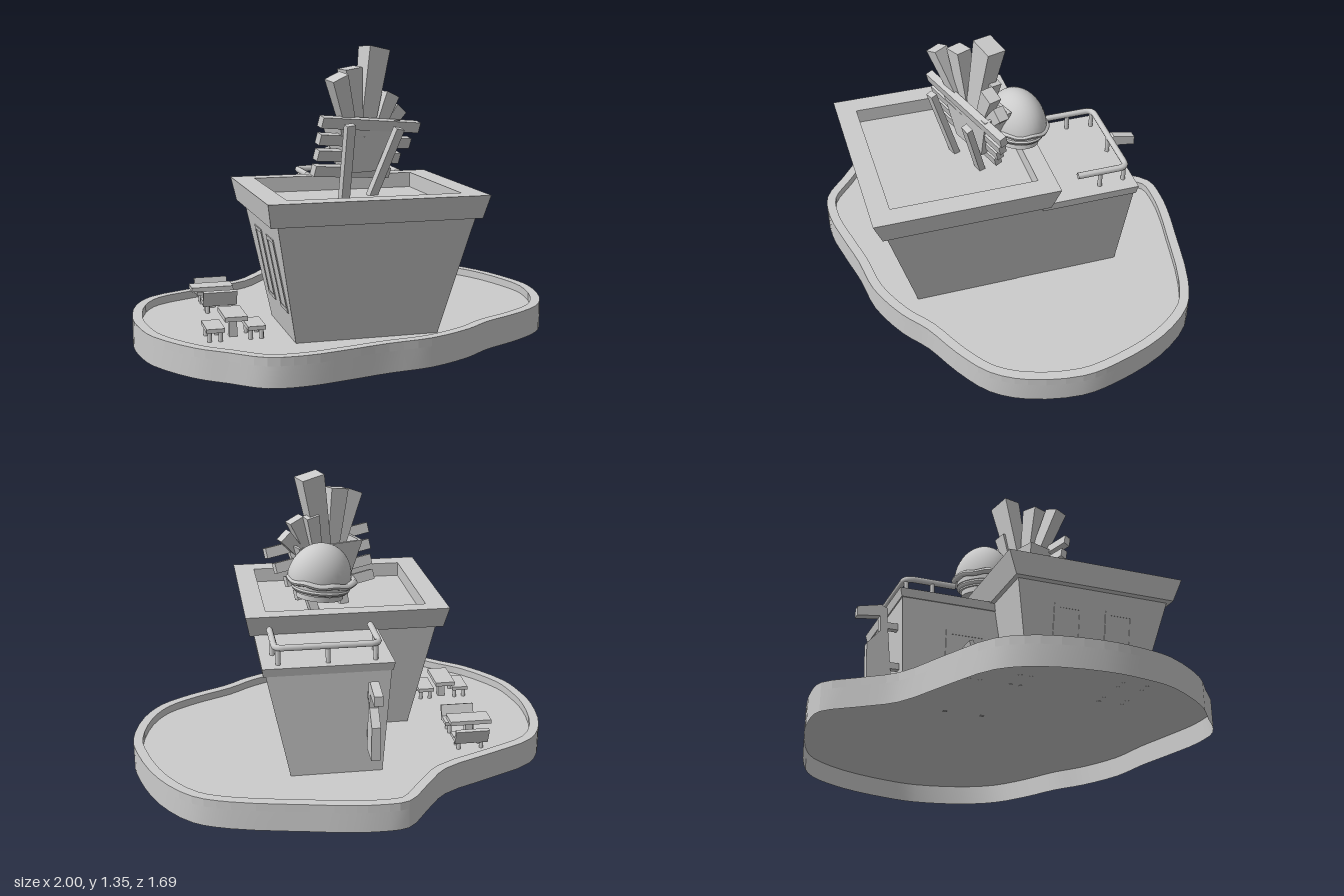
import * as THREE from 'three';

const mat = new THREE.MeshStandardMaterial({ color: 0xcccccc, side: THREE.DoubleSide });
const V = (x, y, z) => new THREE.Vector3(x, y, z);
const FLOOR = 0.093;

function add(parent, name, geo, x = 0, y = 0, z = 0) {
  const m = new THREE.Mesh(geo, mat);
  m.name = name;
  m.position.set(x, y, z);
  parent.add(m);
  return m;
}

function group(parent, name, x = 0, y = 0, z = 0) {
  const g = new THREE.Group();
  g.name = name;
  g.position.set(x, y, z);
  parent.add(g);
  return g;
}

// Loft through rectangles [x0, x1, z0, z1, y], closed at both ends
function loft(rings) {
  const pos = [], idx = [], n = rings.length;
  for (const [x0, x1, z0, z1, y] of rings) pos.push(x0, y, z1, x1, y, z1, x1, y, z0, x0, y, z0);
  for (let r = 0; r < n - 1; r++)
    for (let i = 0; i < 4; i++) {
      const a = r * 4 + i, b = r * 4 + (i + 1) % 4;
      idx.push(a, b, b + 4, a, b + 4, a + 4);
    }
  const t = (n - 1) * 4;
  idx.push(t, t + 1, t + 2, t, t + 2, t + 3, 0, 2, 1, 0, 3, 2);
  let g = new THREE.BufferGeometry();
  g.setAttribute('position', new THREE.Float32BufferAttribute(pos, 3));
  g.setIndex(idx);
  g = g.toNonIndexed();
  g.computeVertexNormals();
  return g;
}

// Bar from p to q, turned about its own length; taper scales its lower end
function beam(parent, name, p, q, w, d, taper = 1) {
  const dir = q.clone().sub(p), mid = p.clone().add(q).multiplyScalar(0.5), h = dir.length() / 2;
  const ring = (s, y) => [-w * s / 2, w * s / 2, -d * s / 2, d * s / 2, y];
  const m = add(parent, name, loft([ring(taper, -h), ring(1, h)]), mid.x, mid.y, mid.z);
  m.quaternion.setFromUnitVectors(V(0, 1, 0), dir.normalize())
    .multiply(new THREE.Quaternion().setFromAxisAngle(V(0, 1, 0), 0.34));
}

// Rounded island, open underneath, with a raised rim around a sunken floor
function buildBase(root) {
  const outline = [[-.176, -.83], [-.04, -.845], [.1, -.83], [.25, -.8], [.58, -.725], [.743, -.647], [.885, -.46],
    [.975, -.21], [1, -.04], [.95, .2], [.86, .35], [.706, .46], [.53, .55], [.4, .645], [.2, .735], [0, .765],
    [-.2, .81], [-.375, .842], [-.535, .828], [-.675, .72], [-.8, .615], [-.945, .4], [-.985, .25], [-1, .08],
    [-.96, -.17], [-.87, -.32], [-.65, -.437], [-.4, -.558], [-.29, -.69]];
  const curve = new THREE.CatmullRomCurve3(outline.map(([x, z]) => V(x, z, 0)), true);
  const outer = [], inner = [], n = 87;
  for (let i = 0; i < n; i++) {
    const p = curve.getPoint(i / n), t = curve.getTangent(i / n);
    outer.push(new THREE.Vector2(p.x, p.y));
    inner.push(new THREE.Vector2(p.x - t.y * 0.045, p.y + t.x * 0.045));
  }
  const rim = new THREE.Shape(outer);
  rim.holes.push(new THREE.Path(inner));
  const rimGeo = new THREE.ExtrudeGeometry(rim, { depth: 0.13 - FLOOR, bevelEnabled: false });
  add(root, 'baseRim', rimGeo.rotateX(Math.PI / 2), 0, 0.13, 0);
  const floor = new THREE.ShapeGeometry(new THREE.Shape(inner)).rotateX(-Math.PI / 2).scale(1, 1, -1);
  floor.index.array.reverse();
  floor.computeVertexNormals();
  add(root, 'baseFloor', floor, 0, FLOOR, 0);

  // Outer skirt down to the ground
  const skirt = new THREE.CylinderGeometry(1, 1, FLOOR, n, 1, true), pos = skirt.attributes.position;
  for (let i = 0; i < pos.count; i++) {
    const o = outer[(n - i % (n + 1)) % n];
    pos.setX(i, o.x);
    pos.setZ(i, o.y);
  }
  skirt.computeVertexNormals();
  add(root, 'baseSkirt', skirt, 0, FLOOR / 2, 0);
}

// Framed opening on a wall facing -x that leans outward
function opening(parent, name, x, y, z, w, h, lean, sill) {
  const g = group(parent, name, x, y, z);
  g.rotation.set(lean, -Math.PI / 2, 0, 'YXZ');
  const t = 0.018, d = 0.01;
  for (const s of [-1, 1]) add(g, 'sideFrame', new THREE.BoxGeometry(t, h, d), s * (w - t) / 2, 0, 0);
  add(g, 'topFrame', new THREE.BoxGeometry(w, t, d), 0, (h - t) / 2, 0);
  if (sill) add(g, 'sill', new THREE.BoxGeometry(w, t, d), 0, (t - h) / 2, 0);
  add(g, 'panel', new THREE.BoxGeometry(w - 2 * t, h - t, 0.005), 0, 0, 0);
}

function buildBuilding(root) {
  add(root, 'mainWalls', loft([[-.35, .295, .045, .54, FLOOR], [-.46, .41, -.05, .69, .64]]));
  add(root, 'mainParapet', loft([[-.49, .435, -.07, .705, .63], [-.51, .455, -.11, .745, .735],
    [-.41, .355, -.03, .65, .735], [-.41, .355, -.03, .65, .665]]));
  add(root, 'wingWalls', loft([[-.128, .293, -.458, .1, FLOOR], [-.16, .4, -.485, .1, .6]]));
  add(root, 'wingRoof', loft([[-.165, .41, -.49, -.04, .595], [-.172, .415, -.5, -.04, .635]]));

  // Windows and door on the side wall
  for (const z of [0.2, 0.45]) opening(root, 'window', -0.408, 0.385, z, 0.14, 0.33, 0.198, true);
  opening(root, 'door', -0.14, 0.28, -0.18, 0.19, 0.38, 0.064, false);

  // Roof railing
  const rail = new THREE.CurvePath(), y = 0.715, r = 0.04, x0 = -0.108, x1 = 0.355, zb = -0.46, zf = -0.22;
  rail.add(new THREE.LineCurve3(V(x0, y, zf), V(x0, y, zb + r)));
  rail.add(new THREE.QuadraticBezierCurve3(V(x0, y, zb + r), V(x0, y, zb), V(x0 + r, y, zb)));
  rail.add(new THREE.LineCurve3(V(x0 + r, y, zb), V(x1 - r, y, zb)));
  rail.add(new THREE.QuadraticBezierCurve3(V(x1 - r, y, zb), V(x1, y, zb), V(x1, y, zb + r)));
  rail.add(new THREE.LineCurve3(V(x1, y, zb + r), V(x1, y, zf)));
  add(root, 'handrail', new THREE.TubeGeometry(rail, 90, 0.015, 8));
  for (const [x, z] of [[x0, -.33], [x1, -.33], [x0 + .015, -.45], [.12, -.455], [x1 - .015, -.45]])
    add(root, 'railPost', new THREE.CylinderGeometry(0.011, 0.011, 0.1, 8), x, 0.665, z);

  // Bracketed post with a projecting arm on the back wall
  const s = new THREE.Shape([[.53, .56], [.56, .575], [.67, .55], [.67, .505], [.565, .52], [.56, .45], [.62, .38],
    [.615, .22], [.505, .23], [.53, .5]].map(p => new THREE.Vector2(...p)));
  const post = new THREE.ExtrudeGeometry(s, { depth: 0.04, bevelEnabled: false }).rotateY(Math.PI / 2);
  add(root, 'orderPost', post, -0.087, 0, 0);
  for (const by of [0.29, 0.48]) add(root, 'orderPostBracket', new THREE.BoxGeometry(0.03, 0.03, 0.08), -0.067, by, -0.49);
}

// Picnic table with two benches, long side along local x
function picnicTable(root, x, z, turn, backrests) {
  const g = group(root, 'picnicTable', x, FLOOR, z);
  g.rotation.y = turn;
  add(g, 'tableTop', new THREE.BoxGeometry(0.2, 0.02, 0.1), 0, 0.099, 0);
  add(g, 'tablePedestal', new THREE.BoxGeometry(0.035, 0.1, 0.035), 0, 0.05, 0);
  for (const side of [-1, 1]) {
    const b = group(g, 'bench', 0.02, 0.053, side * 0.09);
    add(b, 'benchSeat', new THREE.BoxGeometry(0.16, 0.018, 0.08));
    if (backrests) {
      const back = add(b, 'benchBackrest', new THREE.BoxGeometry(0.16, 0.075, 0.018), 0, 0.022, side * 0.052);
      back.rotation.x = side * 0.35;
    }
    for (const sx of [-1, 1]) for (const sz of [-1, 1])
      add(b, 'benchLeg', new THREE.CylinderGeometry(0.01, 0.01, 0.055, 8), sx * 0.055, -0.0265, sz * 0.024);
  }
}

function buildRoofFood(root) {
  // Slatted board leaning forward on two struts
  const board = group(root, 'slattedBoard', 0.045, 0.88, 0.2);
  board.rotation.set(0.28, 0.34, -0.1, 'YXZ');
  [[.01, .125, .56], [0, .045, .52], [-.015, -.03, .47], [-.03, -.105, .43]].forEach(([x, y, w]) =>
    add(board, 'slat', new THREE.BoxGeometry(w, 0.05, 0.035), x, y, 0));
  beam(root, 'strut', V(-.055, .66, .25), V(-.055, 1.01, .35), 0.045, 0.03);
  beam(root, 'strut', V(.1, .66, .17), V(.205, .98, .255), 0.045, 0.03);

  // Fries carton
  const carton = group(root, 'friesCarton', 0.05, 0, 0.17);
  carton.rotation.y = 0.34;
  add(carton, 'cartonBody', loft([[-.1, .1, -.045, .045, .78], [-.17, .17, -.075, .07, 1.01],
    [-.155, .155, -.06, .055, 1.01], [-.15, .15, -.055, .05, .97]]));
  [[.0, .2, -.105, 1.22, .305, .085], [.02, .19, -.02, 1.255, .225, .09], [.05, .18, .125, 1.34, .125, .115],
    [.1, .17, .195, 1.13, .14, .075], [.12, .16, .25, 1.06, .11, .065], [.08, .15, .12, 1.15, .11, .065]]
    .forEach(([bx, bz, x, y, z, w]) => beam(root, 'fry', V(bx, 0.9, bz), V(x, y, z), w, w * 0.8, 0.6));

  // Oval burger, slightly tilted
  const b = group(root, 'burger', 0.085, 0.875, -0.01);
  b.rotation.set(-0.06, 0.34, 0.14, 'YXZ');
  b.scale.x = 1.3;
  const dome = new THREE.SphereGeometry(0.122, 32, 12, 0, Math.PI * 2, 0, Math.PI / 2).scale(1, 1.38, 1);
  add(b, 'topBun', dome, 0.01, 0.005, 0.005);
  const ring = (name, r, t, y, wave) => {
    const g = new THREE.TorusGeometry(r, t, 8, 48).rotateX(Math.PI / 2), p = g.attributes.position;
    for (let i = 0; i < p.count; i++)
      p.setY(i, p.getY(i) + wave * Math.sin(7 * Math.atan2(p.getZ(i), p.getX(i))));
    g.computeVertexNormals();
    add(b, name, g, 0, y, 0);
  };
  ring('lettuce', 0.122, 0.015, 0, 0.004);
  const disc = (name, r, h, y) => add(b, name, new THREE.CylinderGeometry(r, r, h, 32), 0, y, 0);
  disc('patty', 0.112, 0.03, -0.015);
  ring('pattyEdge', 0.1, 0.012, -0.04, 0);
  disc('tomato', 0.1, 0.018, -0.05);
  disc('bottomBun', 0.09, 0.03, -0.07);
}

export function createModel() {
  const root = new THREE.Group();
  root.name = 'burgerStand';
  buildBase(root);
  buildBuilding(root);
  picnicTable(root, -0.6, -0.185, 0, true);
  picnicTable(root, -0.59, 0.345, -Math.PI / 2, false);
  buildRoofFood(root);
  return root;
}
